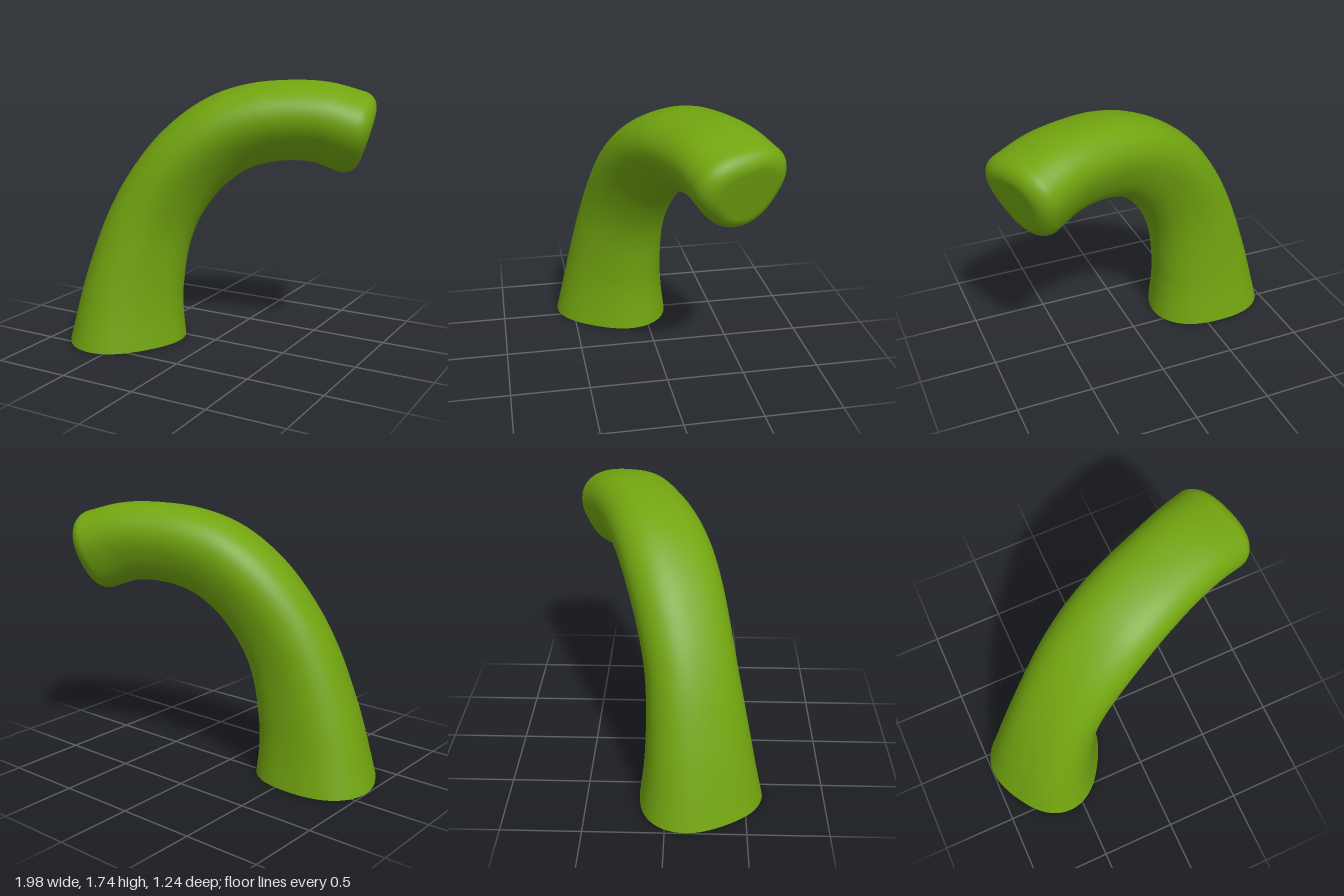
import * as THREE from 'three';

const SIDES = 72, RINGS = 70;
const HEADING = THREE.MathUtils.degToRad(21);       // the arm leans to +x and slightly back
const D = new THREE.Vector3(Math.cos(HEADING), 0, -Math.sin(HEADING));
const L = new THREE.Vector3(Math.sin(HEADING), 0, Math.cos(HEADING));
const UP = new THREE.Vector3(0, 1, 0);
const BASE = new THREE.Vector3(-0.6, 0, 0.195);

// Three soft lobes run along the whole stem
const lobe = (a) => 1 + 0.07 * Math.cos(3 * (a - THREE.MathUtils.degToRad(111)));

// Centre line: x, height, radius
const path = new THREE.CatmullRomCurve3([
  [-0.6, 0, 0.39], [-0.578, 0.2, 0.355], [-0.54, 0.42, 0.325], [-0.46, 0.73, 0.293],
  [-0.355, 0.97, 0.276], [-0.18, 1.22, 0.267], [0.03, 1.395, 0.262], [0.22, 1.47, 0.257],
  [0.42, 1.497, 0.252], [0.62, 1.487, 0.255], [0.8, 1.43, 0.262],
].map(([x, y, r]) => new THREE.Vector3((x - BASE.x) / D.x, y, r)));

function stemGeometry() {
  const positions = [], index = [];
  let rings = 0;

  // One lobed cross-section; (u, y) is its centre, angle its heading in the bend plane
  const addRing = (u, y, angle, rIn, rSide) => {
    const centre = BASE.clone().addScaledVector(D, u).addScaledVector(UP, y);
    const normal = D.clone().multiplyScalar(Math.sin(angle)).addScaledVector(UP, -Math.cos(angle));
    for (let j = 0; j < SIDES; j++) {
      const a = (j / SIDES) * Math.PI * 2, k = lobe(a);
      const p = centre.clone()
        .addScaledVector(normal, Math.cos(a) * k * rIn)
        .addScaledVector(L, Math.sin(a) * k * rSide);
      positions.push(p.x, Math.max(0, p.y), p.z);
    }
    rings++;
  };

  // Stem, starting level on the ground
  let end;
  for (let i = 0; i <= RINGS; i++) {
    const t = i / RINGS, p = path.getPointAt(t), d = path.getTangentAt(t);
    const angle = THREE.MathUtils.lerp(Math.PI / 2, Math.atan2(d.y, d.x), Math.min(1, t / 0.15));
    const wide = 1 + 0.12 * THREE.MathUtils.smoothstep(t, 0.3, 0.65);
    addRing(p.x, p.y, angle, p.z, p.z * wide);
    end = { p, angle, wide };
  }

  // Rounded rim, then the flat tip
  const c = 0.1, { p, angle, wide } = end;
  const addCapRing = (forward, r) => addRing(
    p.x + Math.cos(angle) * forward, p.y + Math.sin(angle) * forward, angle, r, r * wide);
  for (let i = 1; i <= 10; i++) {
    const a = (i / 10) * Math.PI / 2;
    addCapRing(c * Math.sin(a), p.z - c * (1 - Math.cos(a)));
  }
  for (const s of [0.75, 0.4, 0.001]) addCapRing(c, (p.z - c) * s);

  for (let i = 0; i < rings - 1; i++) {
    for (let j = 0; j < SIDES; j++) {
      const a = i * SIDES + j, b = i * SIDES + (j + 1) % SIDES;
      index.push(a, a + SIDES, b, b, a + SIDES, b + SIDES);
    }
  }
  const geometry = new THREE.BufferGeometry();
  geometry.setAttribute('position', new THREE.Float32BufferAttribute(positions, 3));
  geometry.setIndex(index);
  geometry.computeVertexNormals();
  return geometry;
}

export function createModel() {
  const group = new THREE.Group();
  group.name = 'bentStem';
  // Open at the foot, so both sides show
  const material = new THREE.MeshStandardMaterial({ color: 0x72a510, side: THREE.DoubleSide });
  const stem = new THREE.Mesh(stemGeometry(), material);
  stem.name = 'stem';
  group.add(stem);
  return group;
}
